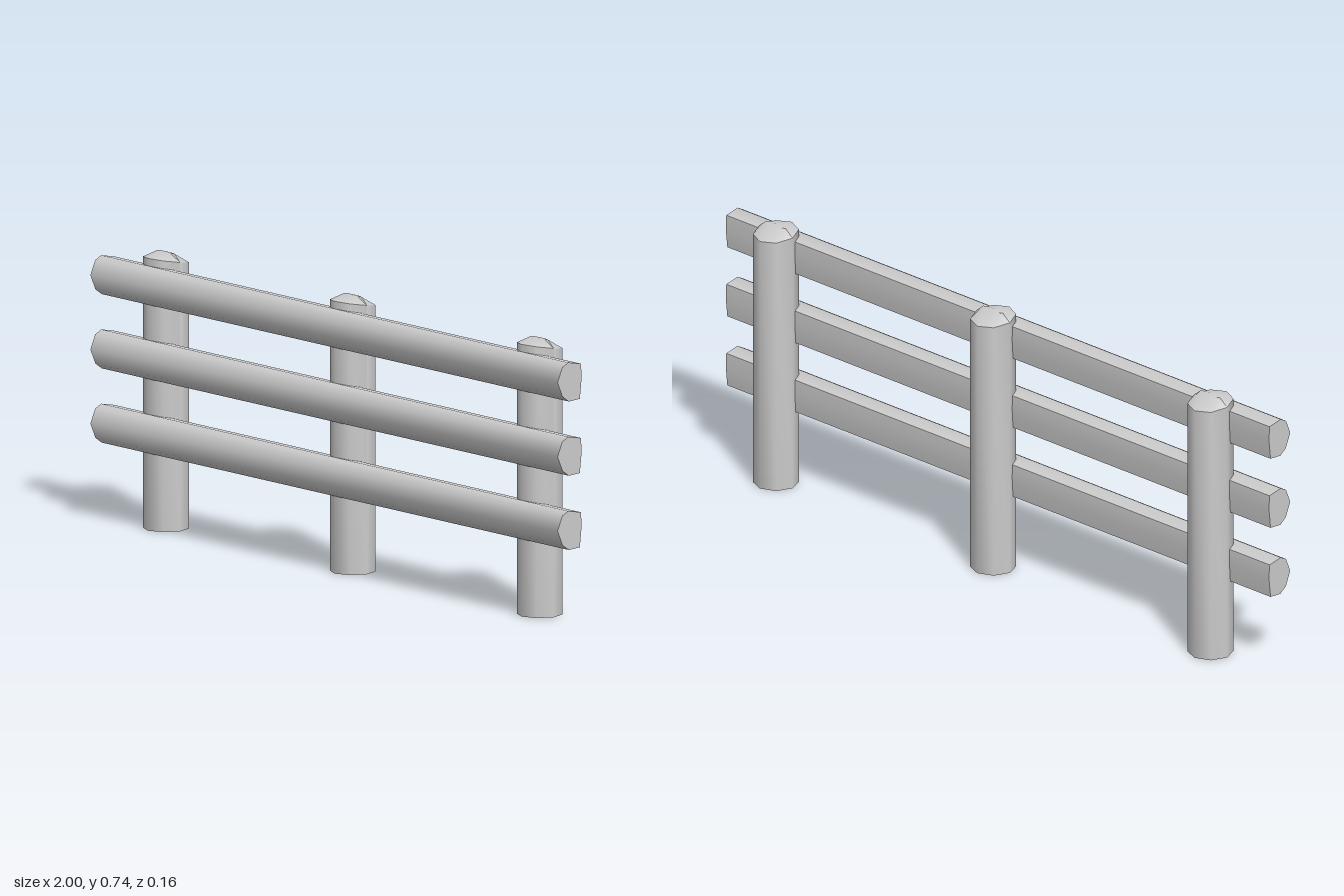
import * as THREE from 'three';
import { toCreasedNormals } from 'three/addons/utils/BufferGeometryUtils.js';

// Eight-sided post with a slanted rim and a low ridged top
function postGeometry() {
  const profile = [[0, 0], [0.061, 0], [0.061, 0.724], [0.036, 0.744], [0, 0.744]];
  const geo = new THREE.LatheGeometry(profile.map(([r, y]) => new THREE.Vector2(r, y)), 8);
  const pos = geo.attributes.position;
  for (let i = 0; i < pos.count; i++) {
    const y = pos.getY(i), z = pos.getZ(i);
    if (y > 0.74) pos.setZ(i, z * 0.15);
    else if (y > 0.7) pos.setY(i, y + z * 0.15);
  }
  return toCreasedNormals(geo, 0.85);
}

// Half-log rail: rounded front, flat back, running along x
function railGeometry() {
  const section = [
    [0.083, 0.003], [0.067, 0.042], [0.047, 0.053], [0.004, 0.045],
    [0.002, 0.006], [0.008, -0.049], [0.045, -0.052], [0.066, -0.037],
  ];
  const shape = new THREE.Shape(section.map(([z, y]) => new THREE.Vector2(-z, y)));
  const geo = new THREE.ExtrudeGeometry(shape, { depth: 2, bevelEnabled: false });
  geo.rotateY(Math.PI / 2).translate(-1, 0, 0);
  return toCreasedNormals(geo, 1.0);
}

export function createModel() {
  const model = new THREE.Group();
  model.name = 'railFence';
  const wood = new THREE.MeshStandardMaterial({ color: 0xcccccc });
  wood.name = 'greyWood';

  const add = (name, geo, x, y, z) => {
    const mesh = new THREE.Mesh(geo, wood);
    mesh.name = name;
    mesh.position.set(x, y, z);
    model.add(mesh);
  };

  // Three posts
  const post = postGeometry();
  [['rightPost', -0.8], ['middlePost', 0], ['leftPost', 0.8]]
    .forEach(([name, x]) => add(name, post, x, 0, -0.014));

  // Three rails set into the front of the posts
  const rail = railGeometry();
  [['bottomRail', 0.26], ['middleRail', 0.46], ['topRail', 0.66]]
    .forEach(([name, y]) => add(name, rail, 0, y, 0));

  return model;
}
